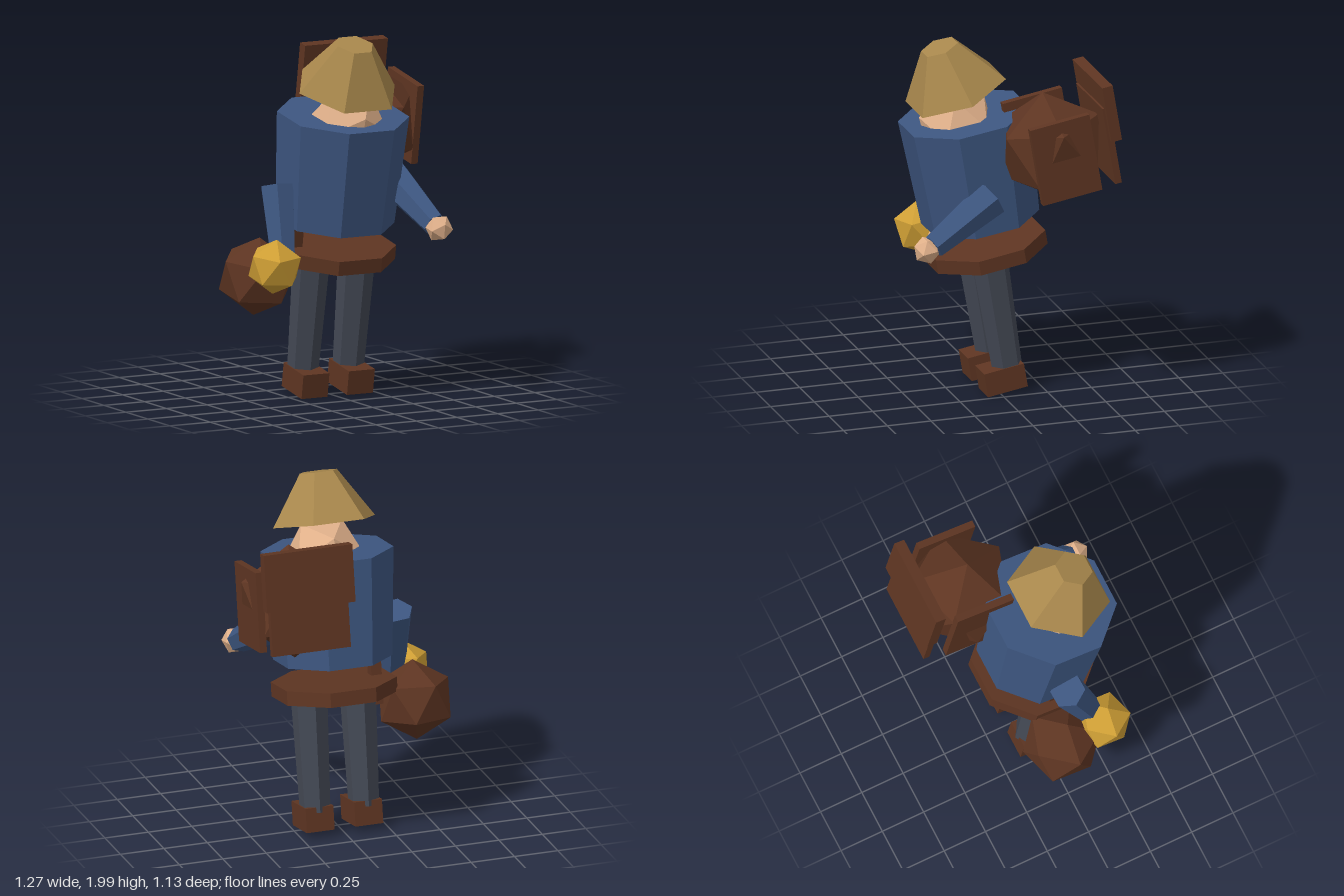
import * as THREE from 'three';

const TILT = 0.168; // forward lean of the whole figure
const VERTEX_UP = 0.5536; // turns an icosahedron so that a corner points up

function paint(name, color) {
  const m = new THREE.MeshStandardMaterial({ color, flatShading: true });
  m.name = name;
  return m;
}

export function createModel() {
  const blue = paint('blue cloth', 0x3d5680);
  const brown = paint('brown leather', 0x5e3522);
  const straw = paint('straw', 0xa8874c);
  const gold = paint('gold', 0xcf9f35);
  const skin = paint('skin', 0xe0b08a);
  const grey = paint('grey trousers', 0x434854);

  const model = new THREE.Group();
  model.name = 'traveller';

  function add(name, geometry, material, x, y, z, tilt = TILT, turn = 0) {
    const mesh = new THREE.Mesh(geometry, material);
    mesh.name = name;
    mesh.position.set(x, y, z);
    mesh.rotation.set(tilt, 0, turn);
    model.add(mesh);
    return mesh;
  }

  // Prism or frustum with flat sides facing front and back
  const prism = (top, bottom, height, sides) =>
    new THREE.CylinderGeometry(top, bottom, height, sides, 1, false, Math.PI / sides);
  const box = (w, h, d) => new THREE.BoxGeometry(w, h, d);
  const ball = (r) => new THREE.IcosahedronGeometry(r, 0);

  // Tapered limb between two points
  function limb(name, material, from, to, r0, r1) {
    const a = new THREE.Vector3(...from), b = new THREE.Vector3(...to);
    const dir = b.clone().sub(a);
    const mid = a.clone().add(b).multiplyScalar(0.5);
    const mesh = add(name, new THREE.CylinderGeometry(r1, r0, dir.length(), 6), material, mid.x, mid.y, mid.z);
    mesh.quaternion.setFromUnitVectors(new THREE.Vector3(0, 1, 0), dir.normalize());
  }

  // Body
  add('torso', prism(0.362, 0.325, 0.605, 8), blue, 0.008, 1.266, 0.102, 0.155);
  add('belt', prism(0.343, 0.343, 0.08, 8), brown, 0.008, 0.804, 0.032);
  add('head', ball(0.225), skin, 0.008, 1.505, 0.19, 0.25);
  add('hat', prism(0.107, 0.293, 0.275, 6), straw, 0.008, 1.836, 0.241, 0.345);

  // Legs and boots
  for (const side of [-1, 1]) {
    const name = side > 0 ? 'left' : 'right';
    const x = 0.008 + side * 0.14;
    add(name + 'Leg', new THREE.CylinderGeometry(0.102, 0.085, 0.66, 6), grey, x, 0.46, -0.002, 0.155);
    add(name + 'Boot', box(0.16, 0.135, 0.23), brown, x, 0.09, -0.02);
  }

  // Arms and hands
  limb('leftArm', blue, [0.335, 1.185, 0.1], [0.408, 0.968, 0.455], 0.105, 0.068);
  add('leftHand', ball(0.077), skin, 0.412, 0.955, 0.495);
  limb('rightArm', blue, [-0.355, 1.185, 0.07], [-0.385, 0.81, 0.19], 0.1, 0.075);
  add('rightHand', ball(0.077), skin, -0.39, 0.77, 0.195);
  add('lantern', ball(0.155), gold, -0.46, 0.775, 0.235, TILT, VERTEX_UP);

  // Hip bag hanging from the belt
  add('hipBag', ball(0.222), brown, -0.44, 0.685, -0.01, TILT, VERTEX_UP);
  add('bagStrap', box(0.06, 0.3, 0.06), brown, -0.228, 0.83, 0.035);

  // Shoulder pack: round bundle in an open frame
  add('packBundle', ball(0.315), brown, 0.35, 1.455, -0.24, TILT, -VERTEX_UP);
  for (const side of [-1, 1]) {
    add('packSidePanel', box(0.04, 0.445, 0.343), brown, 0.35 + side * 0.235, 1.453, -0.238);
  }
  add('packBackPanel', box(0.45, 0.445, 0.037), brown, 0.35, 1.497, -0.51);
  add('packLid', box(0.51, 0.32, 0.06), brown, 0.35, 1.69, -0.5);

  return model;
}
